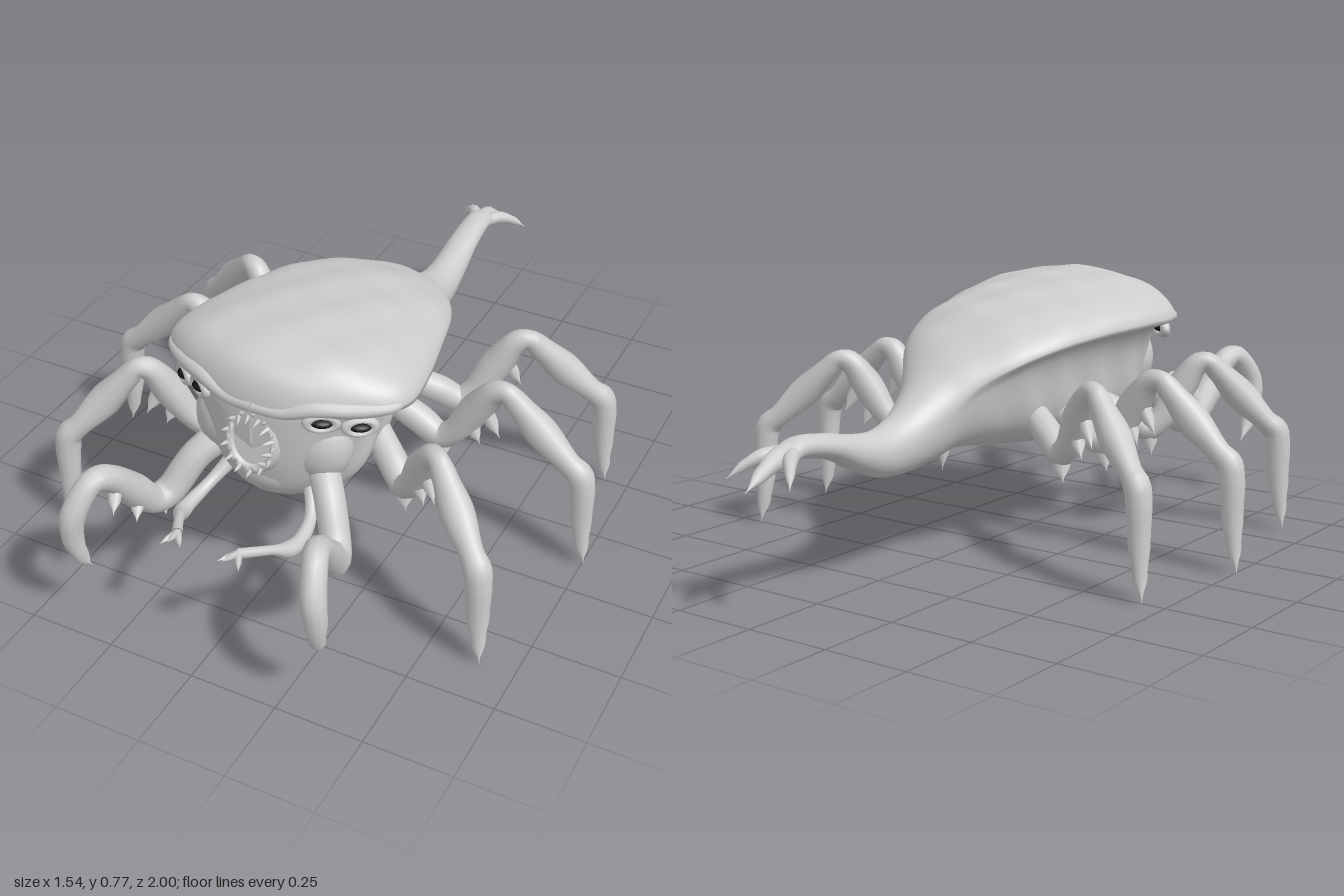
import * as THREE from 'three';

const grey = new THREE.MeshStandardMaterial({ color: 0xcccccc });
const greyDouble = new THREE.MeshStandardMaterial({ color: 0xcccccc, side: THREE.DoubleSide });
const dark = new THREE.MeshStandardMaterial({ color: 0x151515 });
const V = (p) => new THREE.Vector3(...p);

function add(parent, name, geometry, material = grey) {
  const mesh = new THREE.Mesh(geometry, material);
  mesh.name = name;
  parent.add(mesh);
  return mesh;
}

// Tapered tube through points, with one radius per point
function limb(points, radii, sides = 12) {
  const curve = new THREE.CatmullRomCurve3(points.map(V), false, 'centripetal');
  const n = points.length * 6;
  const g = new THREE.TubeGeometry(curve, n, 1, sides);
  const pos = g.attributes.position;
  const v = new THREE.Vector3();
  for (let i = 0; i <= n; i++) {
    const centre = curve.getPointAt(i / n);
    const t = curve.getUtoTmapping(i / n) * (radii.length - 1);
    const k = Math.min(Math.floor(t), radii.length - 2);
    const r = THREE.MathUtils.lerp(radii[k], radii[k + 1], THREE.MathUtils.smoothstep(t - k, 0, 1));
    for (let j = 0; j <= sides; j++) {
      const id = i * (sides + 1) + j;
      v.fromBufferAttribute(pos, id).sub(centre).multiplyScalar(r).add(centre);
      pos.setXYZ(id, v.x, v.y, v.z);
    }
  }
  return g;
}

// Body sections, front to back: z, half width, top, rim, bottom, flank tuck
const sections = [
  [0.648, 0.004, 0.59, 0.55, 0.52, 0],
  [0.637, 0.085, 0.67, 0.60, 0.43, 0],
  [0.61, 0.16, 0.725, 0.625, 0.35, 0.2],
  [0.56, 0.255, 0.755, 0.635, 0.305, 0.6],
  [0.50, 0.33, 0.77, 0.638, 0.282, 0.9],
  [0.43, 0.36, 0.77, 0.635, 0.272, 1],
  [0.30, 0.345, 0.757, 0.63, 0.272, 1],
  [0.15, 0.31, 0.732, 0.62, 0.28, 1],
  [0.00, 0.268, 0.697, 0.60, 0.298, 0.9],
  [-0.12, 0.212, 0.647, 0.565, 0.315, 0.6],
  [-0.22, 0.14, 0.59, 0.51, 0.32, 0.3],
  [-0.30, 0.097, 0.53, 0.44, 0.30, 0],
  [-0.40, 0.072, 0.46, 0.38, 0.288, 0],
  [-0.50, 0.06, 0.425, 0.36, 0.293, 0],
  [-0.60, 0.052, 0.43, 0.38, 0.33, 0],
  [-0.70, 0.045, 0.45, 0.415, 0.38, 0],
  [-0.80, 0.04, 0.462, 0.433, 0.402, 0],
  [-0.86, 0.036, 0.448, 0.423, 0.397, 0],
  [-0.90, 0.004, 0.415, 0.412, 0.408, 0],
];

function bodyGeometry() {
  const spline = (pick) => new THREE.CatmullRomCurve3(sections.map((s) => V(pick.map((i) => s[i]))), false, 'catmullrom');
  const plan = spline([0, 1, 5]);
  const profile = spline([2, 3, 4]);
  const rows = 144, cols = 72, pos = [], index = [];
  for (let i = 0; i <= rows; i++) {
    const { x: z, y: w, z: tuck } = plan.getPoint(i / rows);
    const { x: top, y: rim, z: bottom } = profile.getPoint(i / rows);
    for (let j = 0; j < cols; j++) {
      const a = (j / cols) * Math.PI * 2, s = Math.sin(a), c = Math.cos(a);
      let x = w * s, y = rim + (top - rim) * c;
      if (c < -1e-6) {
        // Flanks tuck in under the shell, bulge to a round belly and carry shallow wrinkles
        const waist = 1 - 0.06 * tuck * Math.abs(s) - 0.24 * tuck * Math.sin(Math.PI * Math.abs(c) ** 0.6);
        x *= waist + 0.02 * tuck * Math.sin(z * 42 + c * 6) * Math.abs(Math.sin(2 * a));
        y = rim + (rim - bottom) * c;
      } else {
        // Gently uneven shell
        y += 0.003 * tuck * c * (Math.sin(x * 31 + z * 17) + Math.sin(x * 13 - z * 37));
      }
      pos.push(x, y, z);
      if (i < rows) {
        const p = i * cols + j, q = i * cols + (j + 1) % cols;
        index.push(p, q, p + cols, q, q + cols, p + cols);
      }
    }
  }
  const g = new THREE.BufferGeometry();
  g.setAttribute('position', new THREE.Float32BufferAttribute(pos, 3));
  g.setIndex(index);
  g.computeVertexNormals();
  return g;
}

function spike(parent, name, from, to, r) {
  const mid = from.map((c, i) => (c + to[i]) / 2);
  add(parent, name, limb([from, mid, to], [r, r * 0.75, 0.001], 8));
}

function walkingLeg(side, hip, foot) {
  const leg = new THREE.Group();
  leg.name = 'walkingLeg';
  const at = (f, y) => [side * THREE.MathUtils.lerp(hip[0], foot[0], f), y, THREE.MathUtils.lerp(hip[1], foot[1], f)];
  // Reach outwards along the hip-to-foot line, then height and radius
  const joints = [
    [-0.3, 0.40, 0.04], [-0.08, 0.35, 0.042], [0.06, 0.315, 0.038], [0.14, 0.34, 0.036], [0.28, 0.44, 0.046],
    [0.39, 0.51, 0.034], [0.46, 0.518, 0.028], [0.53, 0.49, 0.034], [0.68, 0.42, 0.046], [0.86, 0.34, 0.033],
    [0.93, 0.31, 0.038], [0.95, 0.27, 0.036], [0.96, 0.17, 0.031], [0.975, 0.08, 0.021], [1, 0.005, 0.001],
  ];
  add(leg, 'legSegments', limb(joints.map(([f, y]) => at(f, y)), joints.map((j) => j[2])));
  spike(leg, 'legThorn', at(0.05, 0.33), at(0.09, 0.232), 0.034);
  spike(leg, 'legThorn', at(0.22, 0.41), at(0.31, 0.32), 0.028);
  spike(leg, 'legThorn', at(0.31, 0.46), at(0.43, 0.36), 0.026);
  return leg;
}

function headSide(side) {
  const g = new THREE.Group();
  g.name = side > 0 ? 'leftHeadParts' : 'rightHeadParts';
  const m = (list) => list.map(([x, y, z]) => [side * x, y, z]);

  // Raised grasping limb with a hooked end
  add(g, 'graspingLimb', limb(
    m([[0.13, 0.45, 0.52], [0.2, 0.39, 0.6], [0.255, 0.29, 0.67], [0.275, 0.285, 0.71], [0.29, 0.36, 0.78], [0.31, 0.455, 0.865],
      [0.325, 0.465, 0.905], [0.35, 0.39, 0.965], [0.357, 0.33, 0.97], [0.352, 0.25, 0.955], [0.345, 0.185, 0.92]]),
    [0.045, 0.042, 0.042, 0.04, 0.046, 0.036, 0.033, 0.034, 0.031, 0.023, 0.001]));
  for (const [a, b] of [[[0.265, 0.29, 0.69], [0.25, 0.23, 0.7]], [[0.285, 0.35, 0.77], [0.26, 0.29, 0.82]], [[0.3, 0.42, 0.84], [0.28, 0.36, 0.89]]])
    spike(g, 'graspingThorn', ...m([a, b]), 0.024);

  // Thin feeler with three fingers
  add(g, 'feeler', limb(
    m([[0.1, 0.4, 0.52], [0.155, 0.32, 0.62], [0.168, 0.305, 0.7], [0.163, 0.31, 0.75], [0.138, 0.335, 0.8], [0.088, 0.37, 0.885]]),
    [0.024, 0.017, 0.02, 0.023, 0.013, 0.014]));
  for (const tip of [[0.055, 0.365, 0.925], [0.08, 0.385, 0.94], [0.115, 0.355, 0.925]])
    spike(g, 'feelerFinger', ...m([[0.09, 0.368, 0.88], tip]), 0.011);

  // Two slit eyes set in swollen sockets
  for (const [x, y, z, turn] of [[0.178, 0.618, 0.595, 0.6], [0.26, 0.597, 0.54, 0.7]]) {
    const eye = new THREE.Group();
    eye.name = 'eye';
    eye.position.set(side * x, y, z);
    eye.rotation.set(0, side * turn, side * -0.1, 'YXZ');
    add(eye, 'eyeball', new THREE.SphereGeometry(0.03, 16, 12), dark).scale.set(1.05, 0.42, 0.75);
    add(eye, 'eyelid', new THREE.TorusGeometry(0.037, 0.015, 10, 24)).scale.set(1, 0.58, 1);
    g.add(eye);
  }

  // Soft brow ridge and cheek
  add(g, 'brow', limb(
    m([[0.35, 0.645, 0.42], [0.325, 0.645, 0.49], [0.25, 0.65, 0.55], [0.16, 0.655, 0.6], [0.08, 0.635, 0.622], [0, 0.635, 0.63]]),
    [0.005, 0.016, 0.022, 0.022, 0.02, 0.02]));
  const cheek = add(g, 'cheek', new THREE.SphereGeometry(0.1, 20, 14));
  cheek.position.set(side * 0.13, 0.5, 0.53);
  cheek.scale.set(1, 1.15, 0.8);

  // Side prong of the tail
  add(g, 'tailProng', limb(m([[0.012, 0.425, -0.83], [0.045, 0.42, -0.885], [0.075, 0.4, -0.92], [0.108, 0.365, -0.957]]), [0.02, 0.02, 0.014, 0.001]));
  return g;
}

function mouth() {
  const g = new THREE.Group();
  g.name = 'mouth';
  g.position.set(0, 0.52, 0.592);
  g.rotation.x = -0.22;
  g.scale.set(0.9, 1.08, 1);
  // Snout wall rolling over the lip into a hollow
  const wall = [[0.1, -0.03], [0.09, 0.03], [0.083, 0.06], [0.074, 0.07], [0.064, 0.062], [0.06, 0.04], [0.04, 0.025], [0, 0.02]];
  const hollow = add(g, 'snout', new THREE.LatheGeometry(wall.map(([r, y]) => new THREE.Vector2(r, y)), 40), greyDouble);
  hollow.rotation.x = Math.PI / 2;
  // Filled throat, in front of the face
  add(g, 'throat', new THREE.CircleGeometry(0.066, 32)).position.z = 0.052;
  for (let i = 0; i < 26; i++) {
    const a = (i / 26) * Math.PI * 2, c = Math.cos(a), s = Math.sin(a), r = i % 2 ? 0.055 : 0.084;
    spike(g, 'tooth', [c * 0.074, s * 0.074, 0.062], [c * r, s * r, 0.088], 0.007);
  }
  return g;
}

export function createModel() {
  const model = new THREE.Group();
  model.name = 'crawler';
  add(model, 'body', bodyGeometry());
  model.add(mouth());

  const chin = add(model, 'chin', new THREE.SphereGeometry(0.1, 24, 16));
  chin.position.set(0, 0.41, 0.56);
  chin.scale.set(1.1, 0.8, 0.75);

  for (const side of [1, -1]) {
    model.add(headSide(side));
    model.add(walkingLeg(side, [0.29, 0.37], [0.65, 0.62]));
    model.add(walkingLeg(side, [0.28, 0.14], [0.755, 0.13]));
    model.add(walkingLeg(side, [0.26, -0.03], [0.68, -0.25]));
  }
  add(model, 'tailTip', limb([[0, 0.428, -0.83], [0, 0.415, -0.89], [0, 0.39, -0.94], [0, 0.352, -1]], [0.03, 0.028, 0.02, 0.001]));
  return model;
}
